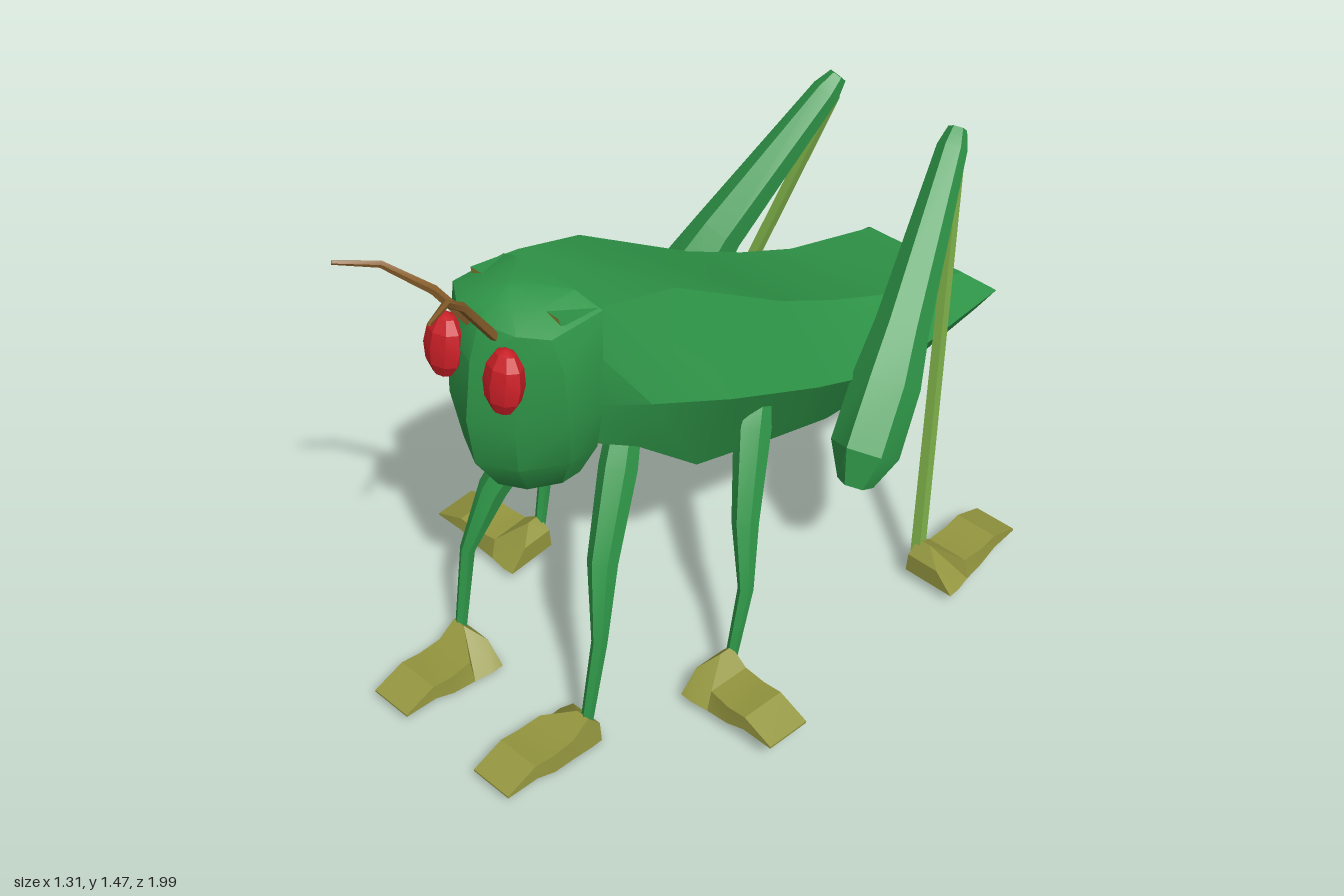
import * as THREE from 'three';
import { toCreasedNormals } from 'three/addons/utils/BufferGeometryUtils.js';

const mat = (name, color) => {
  const m = new THREE.MeshStandardMaterial({ color });
  m.name = name;
  return m;
};
const V = (x, y, z) => new THREE.Vector3(x, y, z);

// Skin a list of equal-length rings (counter-clockwise around the travel direction).
// side = -1 mirrors in x; cols picks which strips are built.
function loft(name, rings, material, { side = 1, caps = true, cols = null } = {}) {
  const pos = [];
  const tri = (a, b, c) => {
    const n = b.clone().sub(a).cross(c.clone().sub(a));
    if (n.length() < 1e-8) return;
    for (const p of side < 0 ? [a, c, b] : [a, b, c]) pos.push(p.x * side, p.y, p.z);
  };
  const n = rings[0].length;
  for (let i = 0; i < rings.length - 1; i++) {
    for (let j = 0; j < n; j++) {
      if (cols && !cols.includes(j)) continue;
      const k = (j + 1) % n, r = rings[i], q = rings[i + 1];
      tri(r[j], r[k], q[k]);
      tri(r[j], q[k], q[j]);
    }
  }
  if (caps) {
    const a = rings[0], b = rings[rings.length - 1];
    for (let j = 1; j < n - 1; j++) {
      tri(a[0], a[j + 1], a[j]);
      tri(b[0], b[j], b[j + 1]);
    }
  }
  const geo = new THREE.BufferGeometry();
  geo.setAttribute('position', new THREE.Float32BufferAttribute(pos, 3));
  const mesh = new THREE.Mesh(toCreasedNormals(geo, 0.5), material);
  mesh.name = name;
  return mesh;
}

// Tapered limb through points [x, y, z, radius]
function limb(name, pts, material, side, sides = 6) {
  const p = pts.map((a) => V(a[0], a[1], a[2]));
  const rings = p.map((c, i) => {
    const t = p[Math.min(i + 1, p.length - 1)].clone().sub(p[Math.max(i - 1, 0)]).normalize();
    const u = V(1, 0, 0).addScaledVector(t, -t.x).normalize();
    const v = t.clone().cross(u);
    return Array.from({ length: sides }, (_, j) => {
      const a = ((j + 0.5) / sides) * Math.PI * 2;
      return c.clone()
        .addScaledVector(u, Math.cos(a) * pts[i][3])
        .addScaledVector(v, Math.sin(a) * pts[i][3]);
    });
  });
  return loft(name, rings, material, { side });
}

// Foot along +z with its ankle bump off to one side, then turned and placed
function foot(name, x, y, z, turn, material, side) {
  // [length, bottom, top, bottom left, bottom right, top left, top right]
  const stations = [
    [0.0, 0.0, 0.06, -0.085, 0.075, -0.03, 0.07],
    [0.035, 0.0, 0.1, -0.085, 0.075, 0.025, 0.065],
    [0.09, 0.0, 0.062, -0.075, 0.07, -0.06, 0.065],
    [0.16, 0.005, 0.06, -0.07, 0.07, -0.065, 0.065],
    [0.22, 0.03, 0.07, -0.07, 0.07, -0.065, 0.065],
    [0.315, 0.03, 0.036, -0.065, 0.065, -0.065, 0.065],
  ];
  const rings = stations.map(([l, b, t, bl, br, tl, tr]) =>
    [V(bl, b, l), V(br, b, l), V(tr, t, l), V(tl, t, l)].map((p) =>
      p.applyAxisAngle(V(0, 1, 0), turn).add(V(x, y, z))));
  return loft(name, rings, material, { side });
}

export function createModel() {
  const green = mat('leaf green', 0x2f9648);
  const olive = mat('olive', 0x94963f);
  const lime = mat('light green', 0x78a845);
  const red = mat('eye red', 0xc81f26);
  const brown = mat('antenna brown', 0x8a602c);
  const model = new THREE.Group();
  model.name = 'grasshopper';

  // Body: [top z, y, half width], [flank z, y, half width], [belly z, y, half width]
  const hex = ([[tz, ty, tw], [mz, my, mw], [bz, by, bw]]) => [
    V(-tw, ty, tz), V(tw, ty, tz), V(mw, my, mz), V(bw, by, bz), V(-bw, by, bz), V(-mw, my, mz)];
  const body = [
    [[0.62, 1.28, 0.15], [0.57, 1.02, 0.19], [0.52, 0.86, 0.16]],
    [[0.46, 1.245, 0.165], [0.42, 0.97, 0.245], [0.4, 0.785, 0.17]],
    [[0.26, 1.19, 0.165], [0.2, 0.89, 0.3], [0.2, 0.61, 0.18]],
    [[-0.13, 0.95, 0.165], [-0.13, 0.74, 0.3], [-0.1, 0.52, 0.18]],
    [[-0.34, 0.845, 0.165], [-0.36, 0.65, 0.298], [-0.32, 0.46, 0.18]],
    [[-0.55, 0.755, 0.165], [-0.6, 0.6, 0.277], [-0.6, 0.44, 0.18]],
    [[-0.92, 0.65, 0.17], [-1.0, 0.58, 0.243], [-0.97, 0.51, 0.2]],
  ].map(hex);
  const last = body[body.length - 1];
  const tailEdge = [5, 2, 2, 2, 5, 5].map((i) => last[i]);
  model.add(
    loft('back', body, green, { caps: false, cols: [0, 1, 2, 4, 5] }),
    loft('belly', body, olive, { caps: false, cols: [3] }),
    loft('tailEnd', [last, tailEdge], green, { caps: false }),
    loft('chestFront', [body[0].map((p) => p.clone().setX(0).setY(1).setZ(0.56)), body[0]], olive, { caps: false }),
  );

  // Head: levels of [y, half width, back z, side z, front z]
  const head = [
    [0.718, 0.05, 0.58, 0.6, 0.65],
    [0.755, 0.11, 0.54, 0.6, 0.71],
    [0.86, 0.165, 0.53, 0.62, 0.775],
    [1.0, 0.193, 0.53, 0.64, 0.79],
    [1.16, 0.197, 0.53, 0.65, 0.765],
    [1.25, 0.17, 0.5, 0.66, 0.73],
    [1.285, 0.1, 0.52, 0.645, 0.69],
    [1.305, 0.02, 0.6, 0.62, 0.635],
  ].map(([y, w, b, s, f]) => {
    const c = s + (f - s) * 0.68;
    return [V(0, y, f), V(w * 0.6, y, c), V(w, y, s), V(w, y, b),
      V(-w, y, b), V(-w, y, s), V(-w * 0.6, y, c)];
  });
  model.add(loft('head', head, green));

  for (const s of [1, -1]) {
    const tag = s > 0 ? 'left' : 'right';

    // Eye
    const eye = new THREE.Mesh(
      toCreasedNormals(new THREE.SphereGeometry(1, 8, 6), 0.5), red);
    eye.name = tag + 'Eye';
    eye.scale.set(0.056, 0.087, 0.044);
    eye.rotation.x = -0.15;
    eye.position.set(0.104 * s, 1.15, 0.752);
    model.add(eye);

    // Antenna
    model.add(limb(tag + 'Antenna', [
      [0.045, 1.2, 0.7, 0.013], [0.05, 1.36, 0.81, 0.012],
      [0.11, 1.445, 0.9, 0.009], [0.165, 1.467, 0.99, 0.005]], brown, s, 5));

    // Front leg
    model.add(limb(tag + 'FrontLeg', [
      [0.12, 0.8, 0.4, 0.045], [0.145, 0.73, 0.445, 0.05], [0.205, 0.53, 0.565, 0.04],
      [0.252, 0.33, 0.63, 0.021], [0.247, 0.06, 0.685, 0.016]], green, s));
    model.add(foot(tag + 'FrontFoot', 0.198, 0.005, 0.655, 0, olive, s));

    // Middle leg
    model.add(limb(tag + 'MiddleLeg', [
      [0.235, 0.76, 0.03, 0.035], [0.25, 0.7, 0.065, 0.05], [0.325, 0.48, 0.17, 0.036],
      [0.38, 0.32, 0.225, 0.021], [0.375, 0.1, 0.272, 0.016]], green, s));
    model.add(foot(tag + 'MiddleFoot', 0.338, 0.04, 0.335, Math.PI / 2 - 0.06, olive, s));

    // Hind leg: heavy thigh, thin shin
    model.add(limb(tag + 'HindThigh', [
      [0.4, 0.44, -0.185, 0.05], [0.395, 0.53, -0.225, 0.095], [0.365, 0.68, -0.34, 0.093],
      [0.335, 0.8, -0.43, 0.074], [0.222, 1.165, -0.745, 0.042], [0.21, 1.205, -0.78, 0.026]], green, s));
    model.add(limb(tag + 'HindShin', [
      [0.22, 1.14, -0.78, 0.018], [0.475, 0.1, -0.395, 0.021]], lime, s, 4));
    model.add(foot(tag + 'HindFoot', 0.535, 0.04, -0.365, Math.PI, olive, s));
  }
  return model;
}
